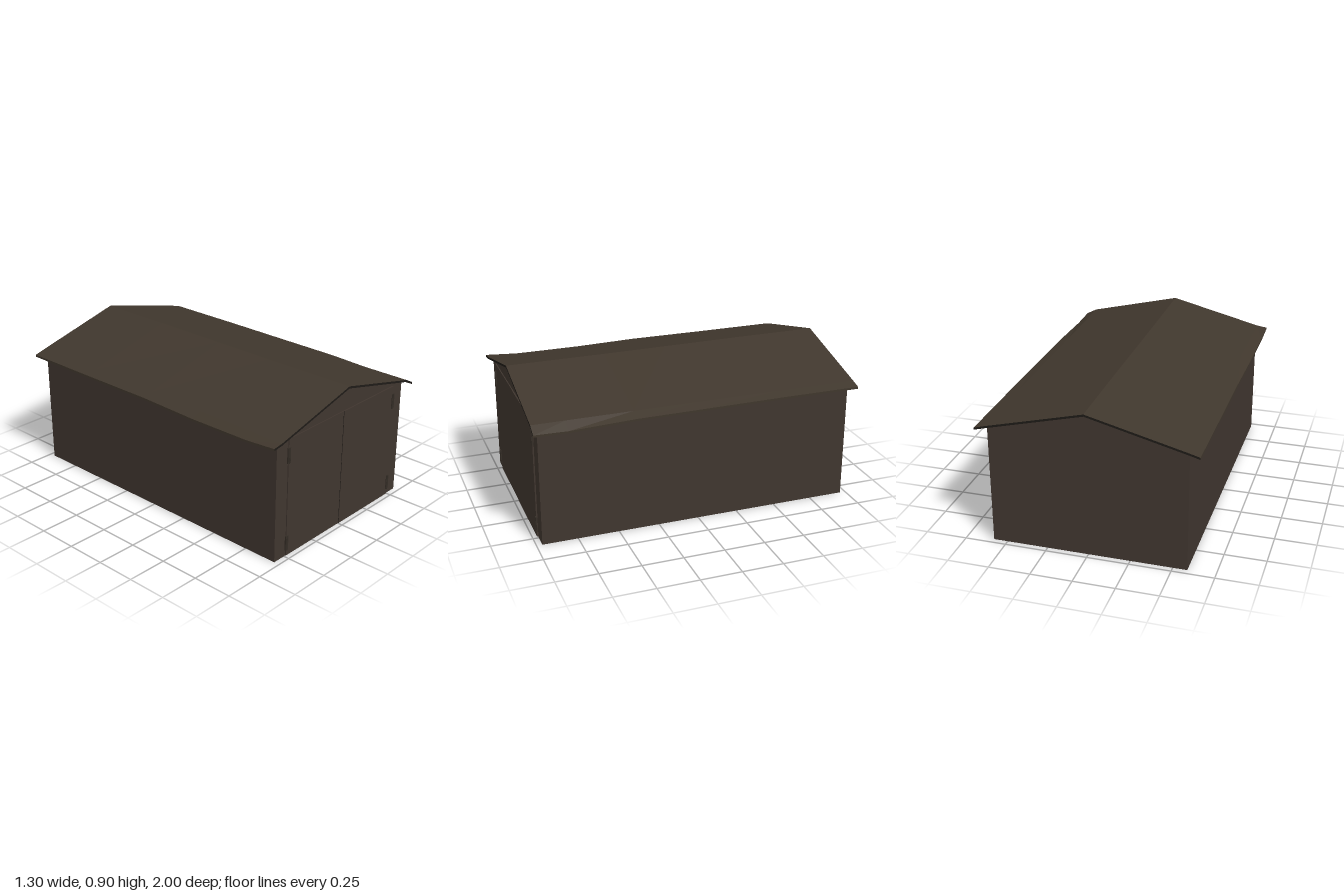
import * as THREE from 'three';

const mat = (name, color) => new THREE.MeshStandardMaterial({ name, color, side: THREE.DoubleSide });

// Flat-shaded surface through rows of [x, y, z] points
function loft(rows) {
  const n = rows[0].length, index = [];
  for (let i = 0; i < rows.length - 1; i++) {
    for (let j = 0; j < n - 1; j++) {
      const a = i * n + j, b = a + n;
      index.push(a, a + 1, b, a + 1, b + 1, b);
    }
  }
  const g = new THREE.BufferGeometry();
  g.setAttribute('position', new THREE.Float32BufferAttribute(rows.flat(2), 3));
  g.setIndex(index);
  const flat = g.toNonIndexed();
  flat.computeVertexNormals();
  return flat;
}

export function createModel() {
  const model = new THREE.Group();
  model.name = 'shed';
  const wood = mat('brown wood', 0x40362f);
  const roofing = mat('brown roofing', 0x40372d);
  const dark = mat('dark trim', 0x1e1b17);
  const iron = mat('hinge iron', 0x352e27);

  const add = (name, geometry, material, x = 0, y = 0, z = 0) => {
    const mesh = new THREE.Mesh(geometry, material);
    mesh.name = name;
    mesh.position.set(x, y, z);
    model.add(mesh);
    return mesh;
  };

  // Hollow walls, open at the bottom
  const W = 0.585, D = 0.965, EAVE = 0.74, RIDGE = 0.888;
  const gable = new THREE.Shape([[-W, 0], [W, 0], [W, EAVE], [0, RIDGE], [-W, EAVE]]
    .map(([x, y]) => new THREE.Vector2(x, y)));
  add('frontWall', new THREE.ShapeGeometry(gable), wood, 0, 0, D);
  add('backWall', new THREE.ShapeGeometry(gable), wood, 0, 0, -D).rotation.y = Math.PI;
  for (const s of [-1, 1]) {
    const name = s > 0 ? 'left' : 'right';
    const wall = add(name + 'Wall', new THREE.PlaneGeometry(2 * D, EAVE), wood, s * W, EAVE / 2, 0);
    wall.rotation.y = s * Math.PI / 2;

    // Door leaf; one leaf stands slightly proud so the seam shows
    const depth = s > 0 ? 0.008 : 0.006;
    add(name + 'Door', new THREE.BoxGeometry(0.488, 0.735, depth), wood, s * 0.2455, 0.3705, D + depth / 2);

    // Two barrel hinges on the outer edge of each leaf
    for (const y of [0.0875, 0.64]) {
      add(name + 'Hinge', new THREE.BoxGeometry(0.022, 0.095, 0.008), iron, s * 0.49, y, D + 0.008);
      add(name + 'HingePin', new THREE.CylinderGeometry(0.004, 0.004, 0.095, 6), iron, s * 0.49, y, D + 0.012);
    }
  }
  add('doorSeam', new THREE.BoxGeometry(0.003, 0.735, 0.007), dark, 0, 0.3705, D + 0.0035);

  // Sagging roof sections: z, y at the -x eave, ridge, y at the +x eave
  const sections = [
    [-1, 0.738, 0.905, 0.738],
    [-0.5, 0.738, 0.905, 0.738],
    [0, 0.74, 0.902, 0.735],
    [0.4, 0.73, 0.9, 0.733],
    [0.8, 0.733, 0.9, 0.718],
    [1, 0.747, 0.9, 0.722],
  ];
  const roofRows = (drop) => sections.map(([z, l, r, e]) => [
    [-0.65, l - drop, z], [-W, 0.756 - drop, z], [0, r - drop, z], [W, 0.756 - drop, z], [0.65, e - drop, z],
  ]);
  const top = roofRows(0), under = roofRows(0.013);
  add('roofTop', loft([...top].reverse()), roofing);
  add('roofUnderside', loft(under), roofing);

  // Thin dark edges of the roof sheet
  const last = sections.length - 1;
  add('roofFrontEdge', loft([top[last], under[last]].reverse()), dark);
  add('roofBackEdge', loft([top[0], under[0]]), dark);
  for (const [name, j] of [['roofRightEdge', 0], ['roofLeftEdge', 4]]) {
    add(name, loft([top.map((r) => r[j]), under.map((r) => r[j])]), roofing);
  }
  return model;
}
